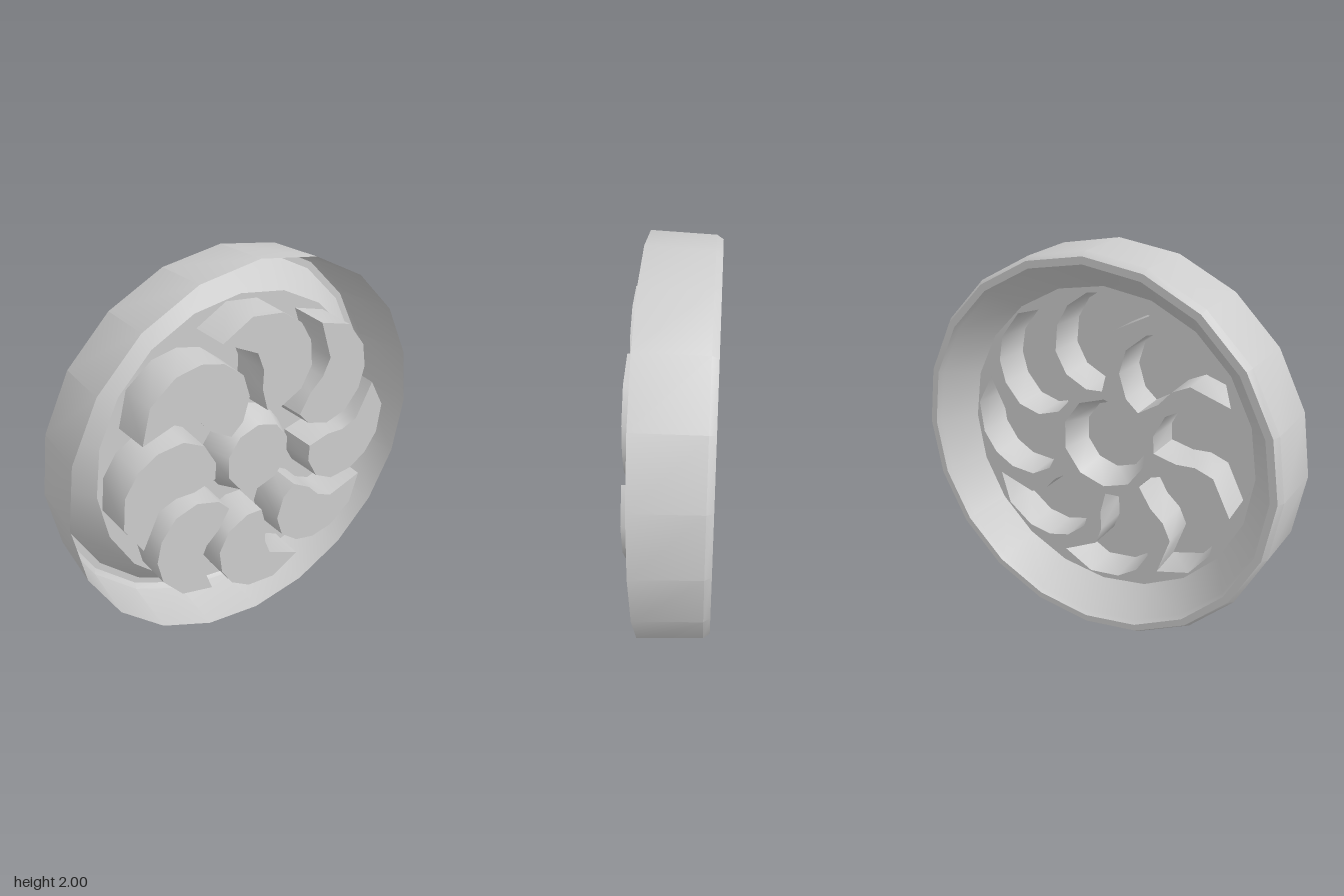
import * as THREE from 'three';
import { toCreasedNormals } from 'three/addons/utils/BufferGeometryUtils.js';

const PLATE_Z = -0.01, BLADE_Z = 0.19, HUB_Z = 0.14;
const BLADES = 8, SIDES = 20;
const material = new THREE.MeshStandardMaterial({ color: 0xcccccc, side: THREE.DoubleSide });

function addMesh(group, name, geometry) {
  const mesh = new THREE.Mesh(geometry, material);
  mesh.name = name;
  group.add(mesh);
}

const ring = (r, n, turn = 0) => Array.from({ length: n }, (_, i) => {
  const a = turn + (i / n) * Math.PI * 2;
  return new THREE.Vector2(Math.cos(a) * r, Math.sin(a) * r);
});

// Tapered wall between two counter-clockwise outlines at different depths
function wall(base, front, z0, z1) {
  const v = [];
  base.forEach((a, i) => {
    const j = (i + 1) % base.length;
    const b = base[j], c = front[j], d = front[i];
    v.push(a.x, a.y, z0, b.x, b.y, z0, c.x, c.y, z1);
    v.push(a.x, a.y, z0, c.x, c.y, z1, d.x, d.y, z1);
  });
  const g = new THREE.BufferGeometry();
  g.setAttribute('position', new THREE.Float32BufferAttribute(v, 3));
  return toCreasedNormals(g, 0.8);
}

// Hollow boss, closed at the front and open at the back
function boss(name, base, front, z) {
  const g = new THREE.Group();
  g.name = name;
  addMesh(g, name + 'Wall', wall(base, front, PLATE_Z, z));
  addMesh(g, name + 'Face', new THREE.ShapeGeometry(new THREE.Shape(front)).translate(0, 0, z));
  return g;
}

export function createModel() {
  const model = new THREE.Group();
  model.name = 'wheelCover';
  const disc = new THREE.Group();
  disc.name = 'disc';
  disc.position.y = 1;
  model.add(disc);

  // Thin outer band, rounded back lip and cone rising to the plate
  const profile = [
    [0.8, PLATE_Z], [0.915, -0.175], [0.93, -0.2], [0.965, -0.2], [0.985, -0.17], [1, 0.14],
  ].map(([r, z]) => new THREE.Vector2(r, z));
  const rim = new THREE.LatheGeometry(profile, SIDES).rotateX(Math.PI / 2);
  addMesh(disc, 'rim', toCreasedNormals(rim, 0.6));

  // Curved blade outline, top position, counter-clockwise
  const blade = [
    [-0.24, 0.69], [-0.05, 0.595], [-0.015, 0.5], [-0.02, 0.4], [0.01, 0.28], [0.1, 0.275],
    [0.215, 0.335], [0.275, 0.445], [0.262, 0.58], [0.2, 0.685], [0.09, 0.76], [-0.08, 0.78],
  ].map(([x, y]) => new THREE.Vector2(x, y));
  const centre = new THREE.Vector2(0.1, 0.52);
  const bladeFront = blade.map((p) => p.clone().sub(centre).multiplyScalar(0.975).add(centre));
  const origin = new THREE.Vector2();

  // Plate with an opening behind each blade and the hub
  const hubBase = ring(0.24, 10, Math.PI / 10);
  const plate = new THREE.Shape(ring(0.8, SIDES));
  plate.holes.push(new THREE.Path(hubBase));
  for (let i = 0; i < BLADES; i++) {
    const angle = (i / BLADES) * Math.PI * 2;
    plate.holes.push(new THREE.Path(blade.map((p) => p.clone().rotateAround(origin, angle))));
    const b = boss('blade', blade, bladeFront, BLADE_Z);
    b.rotation.z = angle;
    disc.add(b);
  }
  addMesh(disc, 'plate', new THREE.ShapeGeometry(plate).translate(0, 0, PLATE_Z));

  // Central hub
  disc.add(boss('hub', hubBase, ring(0.185, 10, Math.PI / 10), HUB_Z));
  return model;
}
